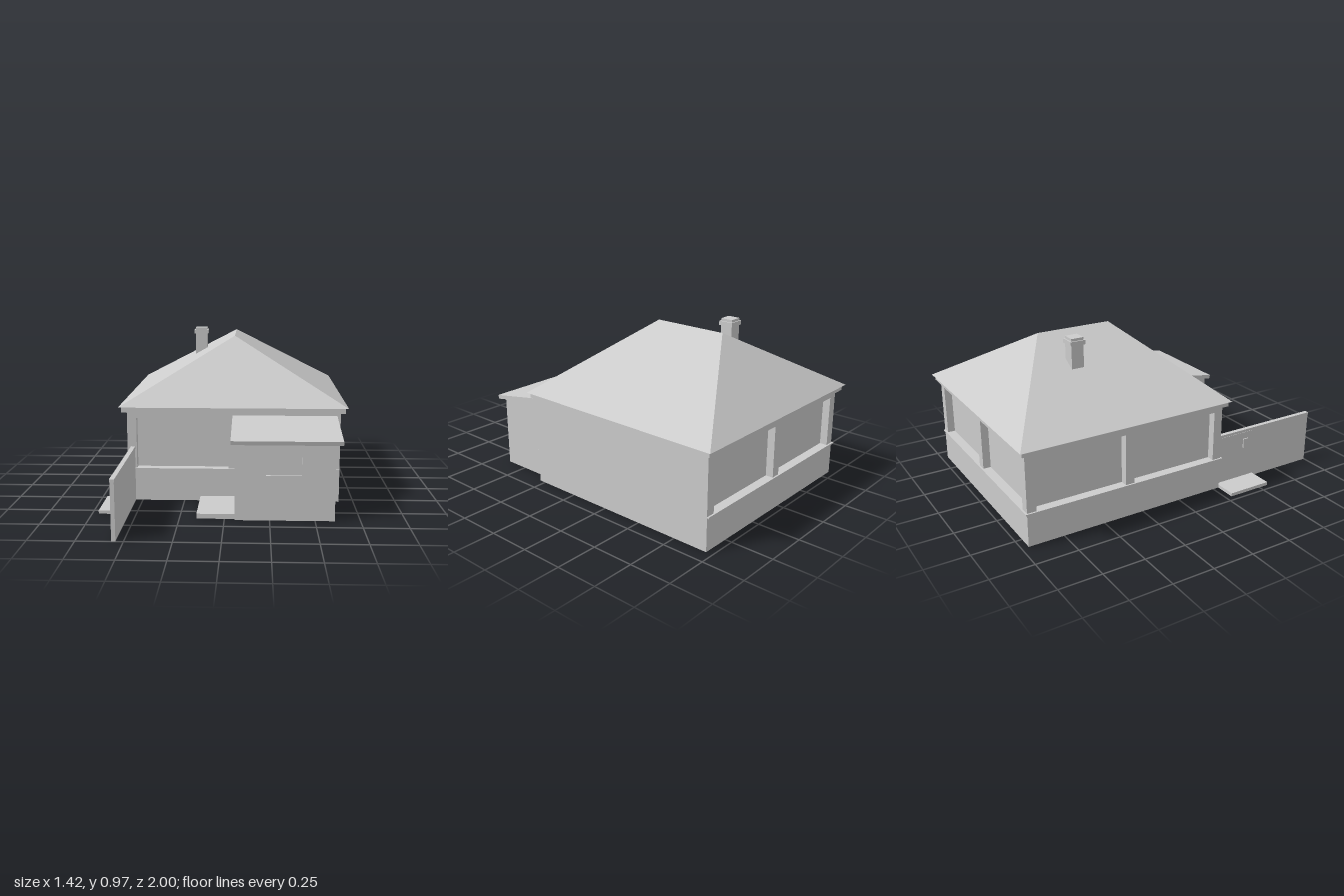
import * as THREE from 'three';

const mat = new THREE.MeshStandardMaterial({ color: 0xcccccc, flatShading: true });

export function createModel() {
  const root = new THREE.Group();
  root.name = 'house';

  const add = (name, geo, parent = root) => {
    const m = new THREE.Mesh(geo, mat);
    m.name = name;
    parent.add(m);
    return m;
  };
  // box given by its limits on each axis
  const box = (name, x0, x1, y0, y1, z0, z1, parent) =>
    add(name, new THREE.BoxGeometry(x1 - x0, y1 - y0, z1 - z0)
      .translate((x0 + x1) / 2, (y0 + y1) / 2, (z0 + z1) / 2), parent);
  // (z, y) side profile extruded from x0 to x1
  const sideExtrude = (name, pts, x0, x1, parent) => {
    const shape = new THREE.Shape(pts.map(([z, y]) => new THREE.Vector2(-z, y)));
    const g = new THREE.ExtrudeGeometry(shape, { depth: x1 - x0, bevelEnabled: false });
    return add(name, g.rotateY(Math.PI / 2).translate(x0, 0, 0), parent);
  };
  const group = (name) => {
    const g = new THREE.Group();
    g.name = name;
    root.add(g);
    return g;
  };

  // main body: low base, recessed window walls, solid right wall
  const X0 = -0.585, X1 = 0.665, Z0 = -0.96, Z1 = 0.29;
  const R = 0.045, P = 0.055, SILL = 0.19, HEAD = 0.5, EAVE = 0.537;
  const body = group('body');
  box('baseWall', X0, X1, 0, SILL, Z0, Z1, body);
  box('windowPanels', X0 + R, X1 - 0.02, SILL, EAVE, Z0 + R, Z1 - R, body);
  box('rightWall', X1 - P, X1, SILL, EAVE, Z0, Z1, body);
  box('windowSill', X0 - 0.01, X1 - 0.001, SILL, SILL + 0.008, Z0 - 0.01, Z1 + 0.01, body);

  // posts along the front, back and left sides
  const midX = (X0 + X1) / 2, midZ = (Z0 + Z1) / 2;
  for (const z of [Z0, Z1 - P]) {
    box('cornerPost', X0, X0 + P, SILL, EAVE, z, z + P, body);
    box('middlePost', midX - P / 2, midX + P / 2, SILL, EAVE, z, z + P, body);
    box('windowHeader', X0, X1 - 0.001, HEAD, EAVE, z, z + P, body);
  }
  box('middlePost', X0, X0 + P, SILL, EAVE, midZ - P / 2, midZ + P / 2, body);
  box('windowHeader', X0, X0 + P, HEAD, EAVE, Z0, Z1, body);

  // hipped roof with a fascia under the eaves
  const roof = group('roof');
  box('fascia', -0.615, 0.692, 0.535, 0.566, -0.985, 0.31, roof);
  const a = [-0.632, 0.566, 0.323], b = [0.708, 0.566, 0.323];
  const c = [0.708, 0.566, -1], d = [-0.632, 0.566, -1];
  const e = [0.038, 0.945, -0.11], f = [0.038, 0.945, -0.57];
  const faces = [a, b, e, b, c, f, b, f, e, c, d, f, d, a, e, d, e, f, a, d, c, a, c, b];
  const hip = new THREE.BufferGeometry();
  hip.setAttribute('position', new THREE.Float32BufferAttribute(faces.flat(), 3));
  hip.computeVertexNormals();
  add('hippedRoof', hip, roof);

  // chimney
  const chimney = group('chimney');
  box('chimneyStack', -0.23, -0.155, 0.75, 0.93, -0.495, -0.42, chimney);
  box('chimneyCollar', -0.238, -0.147, 0.928, 0.953, -0.503, -0.412, chimney);
  box('chimneyTop', -0.23, -0.155, 0.953, 0.968, -0.495, -0.42, chimney);

  // lean-to porch with a small recessed window
  const porch = group('porch');
  sideExtrude('porchBody', [[0.25, 0], [0.633, 0], [0.633, 0.432], [0.25, 0.496]], 0.057, 0.608, porch);
  const front = new THREE.Shape([[0.057, 0], [0.608, 0], [0.608, 0.432], [0.057, 0.432]]
    .map(([x, y]) => new THREE.Vector2(x, y)));
  front.holes.push(new THREE.Path([[0.228, 0.255], [0.228, 0.36], [0.424, 0.36], [0.424, 0.255]]
    .map(([x, y]) => new THREE.Vector2(x, y))));
  add('porchFrontWall', new THREE.ExtrudeGeometry(front, { depth: 0.012, bevelEnabled: false })
    .translate(0, 0, 0.633), porch);
  sideExtrude('porchRoof', [[0.25, 0.498], [0.666, 0.43], [0.672, 0.453], [0.25, 0.525]], 0.035, 0.645, porch);
  box('porchStep', -0.155, 0.057, 0, 0.028, 0.28, 0.625, porch);

  // garden wall with gate, cap and landing
  const garden = group('gardenWall');
  box('wall', -0.563, -0.541, 0, 0.312, 0.28, 0.998, garden);
  box('wallCap', -0.565, -0.539, 0.312, 0.328, 0.28, 1, garden);
  box('gate', -0.567, -0.55, 0.02, 0.312, 0.3, 0.55, garden);
  box('gateHandle', -0.574, -0.56, 0.212, 0.27, 0.475, 0.51, garden);
  box('landing', -0.713, -0.541, 0, 0.02, 0.288, 0.56, garden);

  return root;
}
